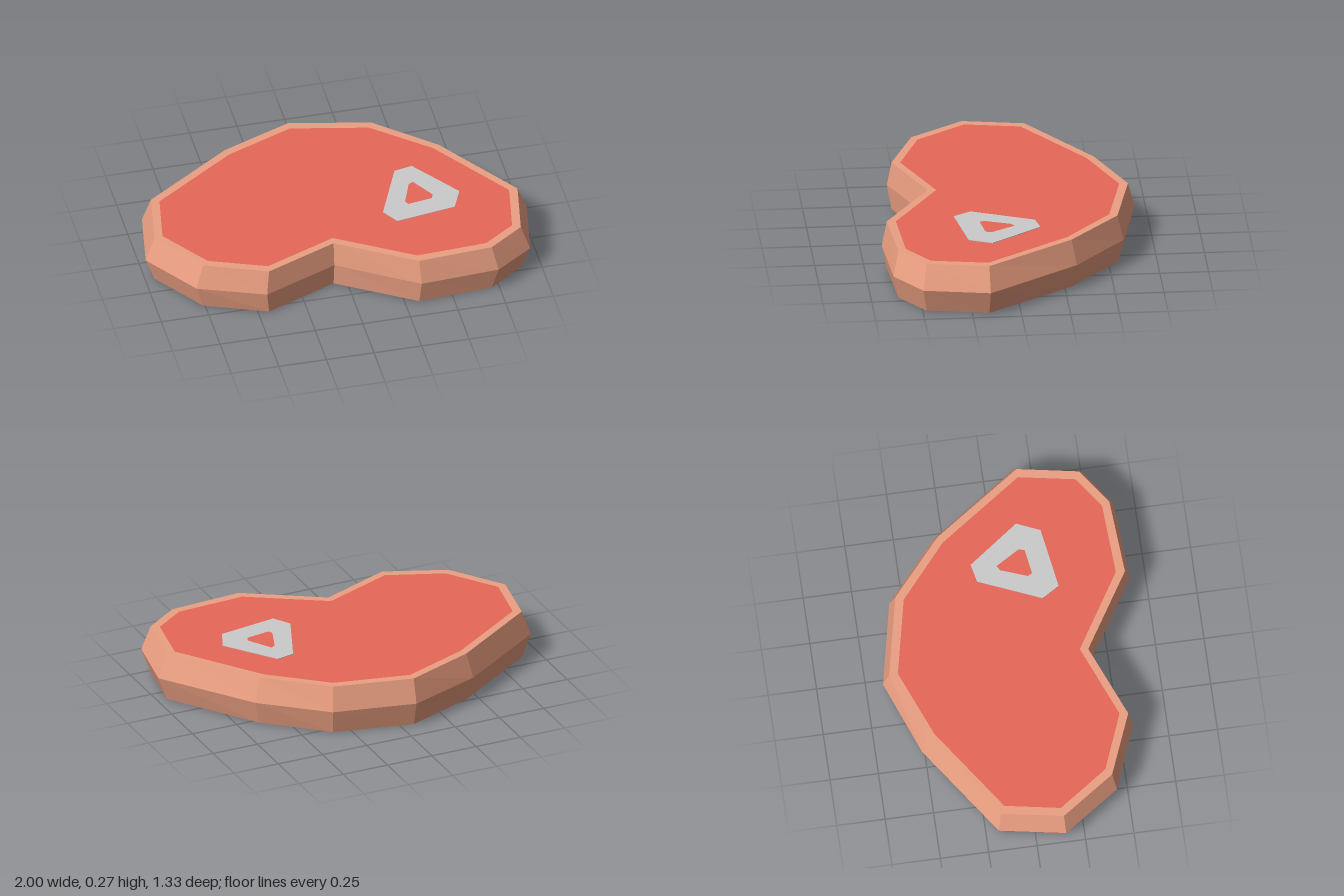
import * as THREE from 'three';

const BOTTOM = 0.003, MIDDLE = 0.133, TOP = 0.263, BONE_TOP = 0.266;

// Outlines as [x, z], clockwise seen from above
const GIRTH = [[-1, 0.15], [-0.94, -0.19], [-0.46, -0.52], [-0.07, -0.667], [0.36, -0.575], [0.67, -0.31], [1, 0.16],
  [0.937, 0.5], [0.74, 0.637], [0.33, 0.663], [-0.07, 0.41], [-0.46, 0.57], [-0.8, 0.44]];
const EDGE = [[-0.953, 0.145], [-0.897, -0.173], [-0.435, -0.49], [-0.07, -0.635], [0.345, -0.545], [0.64, -0.285], [0.95, 0.163],
  [0.893, 0.48], [0.71, 0.61], [0.323, 0.637], [-0.07, 0.393], [-0.445, 0.547], [-0.763, 0.42]];
const MEAT = [[-0.908, 0.135], [-0.857, -0.15], [-0.42, -0.45], [-0.07, -0.59], [0.325, -0.505], [0.605, -0.265], [0.905, 0.165],
  [0.853, 0.455], [0.69, 0.57], [0.325, 0.59], [-0.065, 0.35], [-0.44, 0.503], [-0.73, 0.39]];
const BONE = [[0.37, -0.12], [0.465, -0.14], [0.655, 0.12], [0.603, 0.24], [0.29, 0.29], [0.235, 0.2]];
const MARROW = [[0.415, 0.005], [0.44, -0.01], [0.515, 0.115], [0.505, 0.145], [0.375, 0.165], [0.365, 0.14]];

const material = (color) => new THREE.MeshStandardMaterial({ color, flatShading: true });
const toPoints = (outline) => outline.map(([x, z]) => new THREE.Vector2(x, -z));

function mesh(name, geometry, mat) {
  const m = new THREE.Mesh(geometry, mat);
  m.name = name;
  return m;
}

// Joins a stack of matching outlines with flat-sided bands
function bands(rings) {
  const positions = [];
  for (let r = 0; r < rings.length - 1; r++) {
    const [low, y0] = rings[r], [high, y1] = rings[r + 1];
    for (let i = 0; i < low.length; i++) {
      const j = (i + 1) % low.length;
      const a = [low[i][0], y0, low[i][1]], b = [high[i][0], y1, high[i][1]];
      const c = [high[j][0], y1, high[j][1]], d = [low[j][0], y0, low[j][1]];
      positions.push(...a, ...b, ...c, ...a, ...c, ...d);
    }
  }
  const geometry = new THREE.BufferGeometry();
  geometry.setAttribute('position', new THREE.Float32BufferAttribute(positions, 3));
  geometry.computeVertexNormals();
  return geometry;
}

export function createModel() {
  const group = new THREE.Group();
  group.name = 'steak';
  const meatMaterial = material(0xe76859);

  // Fat rind: narrow rims above and below, bulging side wall between
  group.add(mesh('fatRind', bands([[MEAT, BOTTOM], [EDGE, BOTTOM], [GIRTH, MIDDLE], [EDGE, TOP], [MEAT, TOP]]), material(0xeca082)));

  // Meat faces, top and underside
  const face = new THREE.ShapeGeometry(new THREE.Shape(toPoints(MEAT)));
  const top = mesh('meatTop', face, meatMaterial);
  top.rotation.x = -Math.PI / 2;
  top.position.y = TOP;
  const under = mesh('meatUnderside', face.clone().scale(1, -1, 1), meatMaterial);
  // Mirror the outline and restore its winding so the face points down
  const index = under.geometry.index.array;
  for (let i = 0; i < index.length; i += 3) [index[i], index[i + 1]] = [index[i + 1], index[i]];
  under.geometry.computeVertexNormals();
  under.rotation.x = Math.PI / 2;
  under.position.y = BOTTOM;
  group.add(top, under);

  // Bone ring running right through the slab, slightly proud of both faces
  const boneShape = new THREE.Shape(toPoints(BONE));
  boneShape.holes.push(new THREE.Path(toPoints(MARROW)));
  const bone = mesh('bone', new THREE.ExtrudeGeometry(boneShape, { depth: BONE_TOP, bevelEnabled: false }), material(0xcccccc));
  bone.rotation.x = -Math.PI / 2;
  group.add(bone);

  return group;
}
